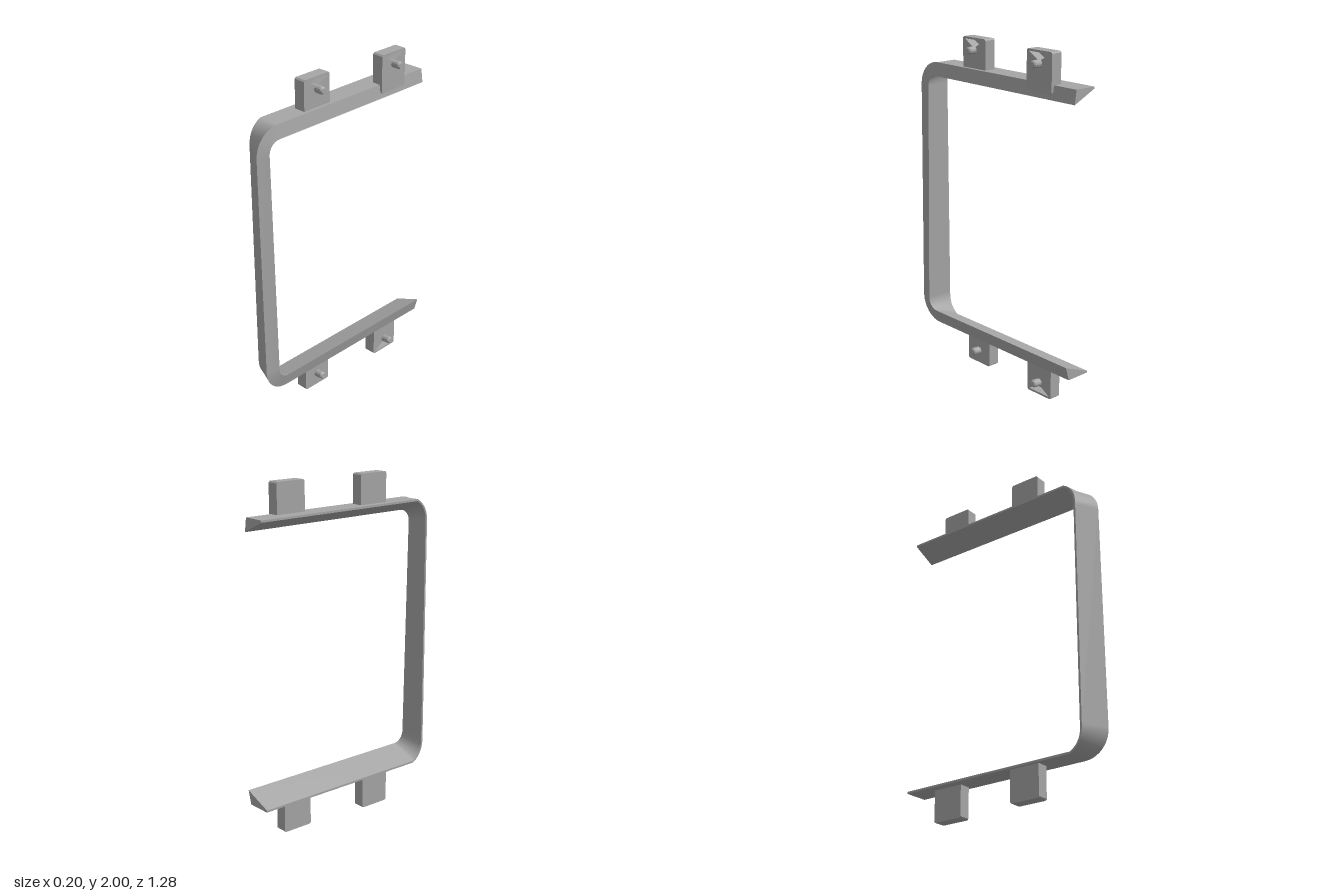
import * as THREE from 'three';

const grey = new THREE.MeshStandardMaterial({ color: 0xa6a6a6, side: THREE.DoubleSide });
grey.name = 'grey';

function add(group, geometry, name) {
  const mesh = new THREE.Mesh(geometry, grey);
  mesh.name = name;
  group.add(mesh);
  return mesh;
}

// One wedge cross-section: outer thin, outer thick, inner thick, inner thin corner
function section(cz, cy, t, low) {
  const at = (x, r) => [x, cy + r * Math.cos(t), cz + r * Math.sin(t)];
  const thin = 0.15 - 0.07 * Math.sin(t);
  return [
    at(-0.102, thin),
    at(0.03 + 0.015 * low, 0.15),
    at(0.042 + 0.025 * low, 0.07),
    at(-0.102, thin - 0.012),
  ];
}

// C-shaped wedge bar: top arm, rounded corner, post, rounded corner, bottom arm
function frameGeometry() {
  const steps = 10, cz = 0.49, topY = 1.675, lowY = 0.34;
  const rings = [section(-0.64, topY, 0, 0)];
  for (let i = 0; i <= steps; i++) rings.push(section(cz, topY, (i / steps) * Math.PI / 2, 0));
  for (let i = 0; i <= steps; i++) rings.push(section(cz, lowY, (1 + i / steps) * Math.PI / 2, 1));
  rings.push(section(-0.64, lowY, Math.PI, 1));

  const pos = [], index = [];
  // Each side is its own strip, so the long edges stay sharp
  for (let k = 0; k < 4; k++) {
    const base = pos.length / 3;
    rings.forEach((r) => pos.push(...r[k], ...r[(k + 1) % 4]));
    for (let i = 0; i < rings.length - 1; i++) {
      const a = base + 2 * i;
      index.push(a, a + 2, a + 1, a + 1, a + 2, a + 3);
    }
  }
  // End caps
  for (const ring of [rings[0], [...rings[rings.length - 1]].reverse()]) {
    const base = pos.length / 3;
    ring.forEach((p) => pos.push(...p));
    index.push(base, base + 1, base + 2, base, base + 2, base + 3);
  }
  const g = new THREE.BufferGeometry();
  g.setAttribute('position', new THREE.Float32BufferAttribute(pos, 3));
  g.setIndex(index);
  g.computeVertexNormals();
  return g;
}

// Mounting tab: back plate, face with a triangular recess, and a pin
function mountingTab({ name, x0, x1, z, y0, y1, pinY, pinEnd, tilt = 0, recess = 0 }) {
  const group = new THREE.Group();
  group.name = name;
  const h = 0.095, c = 0.008, back = 0.015;
  const outline = () => new THREE.Shape([
    [-h + c, y0], [h - c, y0], [h, y0 + c], [h, y1 - c],
    [h - c, y1], [-h + c, y1], [-h, y1 - c], [-h, y0 + c],
  ].map(([u, v]) => new THREE.Vector2(u, v)));

  const slab = (shape, from, depth, part) => {
    const g = new THREE.ExtrudeGeometry(shape, { depth, bevelEnabled: false });
    g.rotateY(Math.PI / 2);
    g.translate(from, 0, z);
    add(group, g, part);
  };
  slab(outline(), x0, back, 'tabBack');
  const face = outline();
  if (recess) {
    const edge = recess > 0 ? y1 - 0.012 : y0 + 0.012;
    face.holes.push(new THREE.Path([
      new THREE.Vector2(-h + 0.015, edge),
      new THREE.Vector2(h - 0.015, edge),
      new THREE.Vector2(0, pinY + recess * 0.012),
    ]));
  }
  slab(face, x0 + back, x1 - x0 - back, 'tabFace');

  // Pin with a chamfered tip
  const r = 0.022, len = pinEnd - x1 + 0.03;
  const pin = new THREE.LatheGeometry([
    [0, 0], [r, 0], [r, len - 0.008], [r - 0.007, len], [0, len],
  ].map(([a, b]) => new THREE.Vector2(a, b)), 12).toNonIndexed();
  pin.computeVertexNormals();
  const mesh = add(group, pin, 'pin');
  mesh.rotation.z = -Math.PI / 2 + tilt;
  mesh.position.set(x1 - 0.03, pinY, z);
  return group;
}

export function createModel() {
  const model = new THREE.Group();
  model.name = 'bracketFrame';
  add(model, frameGeometry(), 'frame');

  const tabs = [
    { name: 'topFrontTab', x0: -0.06, x1: 0.01, z: 0.183, y0: 1.8, y1: 2, pinY: 1.93, pinEnd: 0.06, recess: 1 },
    { name: 'topRearTab', x0: -0.022, x1: 0.047, z: -0.38, y0: 1.775, y1: 2, pinY: 1.93, pinEnd: 0.1, recess: 1 },
    { name: 'bottomFrontTab', x0: -0.085, x1: -0.015, z: 0.183, y0: 0, y1: 0.2, pinY: 0.077, pinEnd: 0.04, tilt: 0.1 },
    { name: 'bottomRearTab', x0: -0.05, x1: 0.02, z: -0.38, y0: 0, y1: 0.2, pinY: 0.075, pinEnd: 0.075, tilt: 0.1, recess: -1 },
  ];
  tabs.forEach((t) => model.add(mountingTab(t)));
  return model;
}
